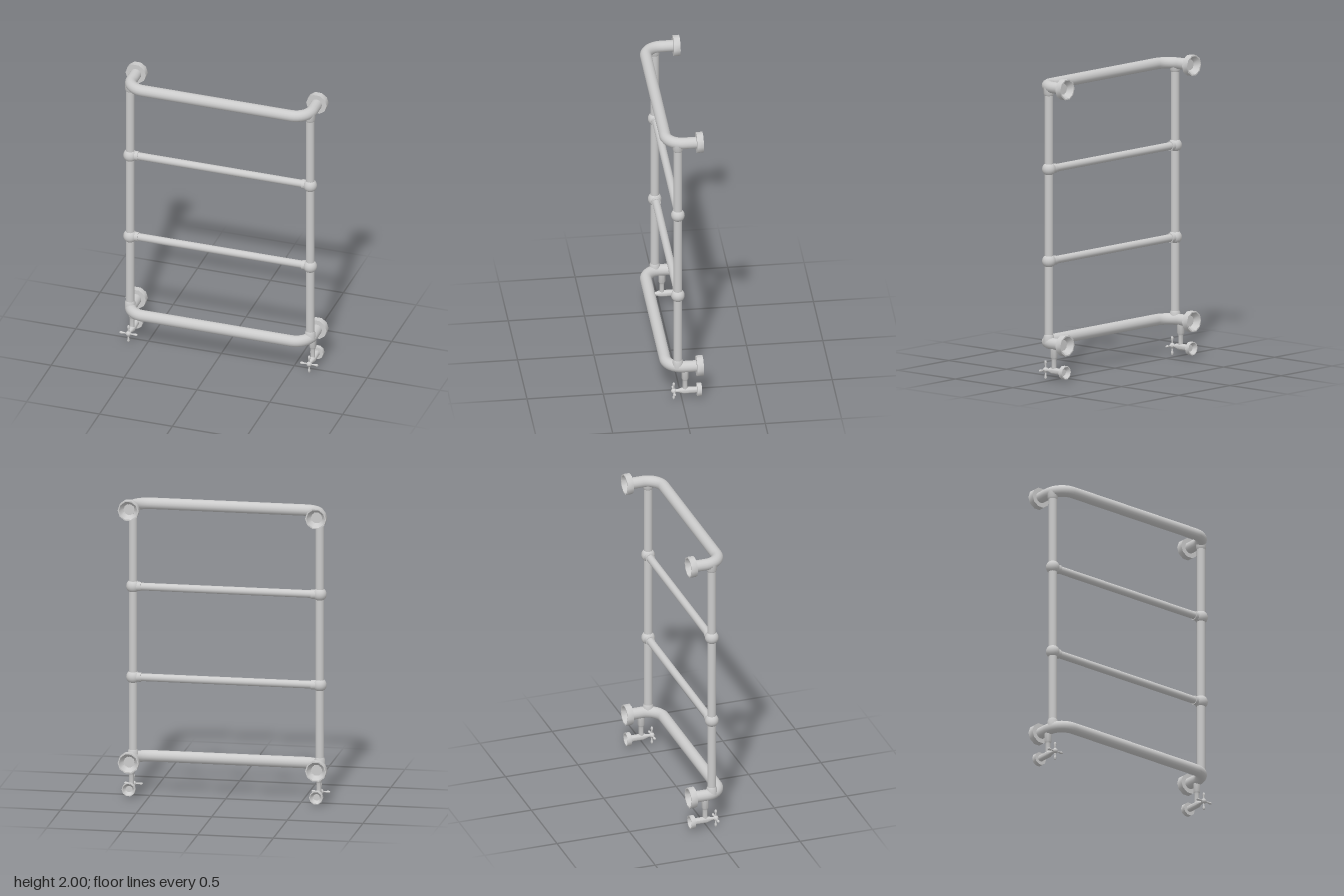
import * as THREE from 'three';
import { toCreasedNormals } from 'three/addons/utils/BufferGeometryUtils.js';

const X = 0.62, POST_Z = 0.026, TOP = 1.934, BOTTOM = 0.243;
const material = new THREE.MeshStandardMaterial({ color: 0xcccccc, side: THREE.DoubleSide });

function add(parent, name, geometry, x = 0, y = 0, z = 0) {
  const mesh = new THREE.Mesh(geometry, material);
  mesh.name = name;
  mesh.position.set(x, y, z);
  parent.add(mesh);
  return mesh;
}

// Turned part from [radius, height] pairs, with crisp profile edges
function turned(profile, sides) {
  const points = profile.map(([r, h]) => new THREE.Vector2(r, h));
  return toCreasedNormals(new THREE.LatheGeometry(points, sides, Math.PI / 2), 0.7);
}

// Pipe that bends back to the wall at both ends
function bentPipe() {
  const v = (x, z) => new THREE.Vector3(x, 0, z);
  const path = new THREE.CurvePath();
  const r = 0.11, front = 0.097, k = 0.45 * r;
  path.add(new THREE.LineCurve3(v(-X, -0.105), v(-X, front - r)));
  path.add(new THREE.CubicBezierCurve3(v(-X, front - r), v(-X, front - k), v(-X + k, front), v(-X + r, front)));
  path.add(new THREE.LineCurve3(v(-X + r, front), v(X - r, front)));
  path.add(new THREE.CubicBezierCurve3(v(X - r, front), v(X - k, front), v(X, front - k), v(X, front - r)));
  path.add(new THREE.LineCurve3(v(X, front - r), v(X, -0.105)));
  return new THREE.TubeGeometry(path, 90, 0.038, 16);
}

// Hollow wall cup, open to the back
function wallCup(r, pipe, z0, z1) {
  return turned([[0, z0 - 0.006], [pipe, z0 - 0.006], [r * 0.88, z1], [r, z1], [r, z0], [pipe * 0.9, z0]], 10)
    .rotateX(Math.PI / 2);
}

// Angled valve with a cross handle
function valve(x) {
  const g = new THREE.Group();
  g.name = 'valve';
  g.position.set(x, 0.064, 0);
  const stem = turned([[0.016, 0], [0.016, 0.075], [0.019, 0.085], [0.023, 0.092], [0.023, 0.17]], 14);
  add(g, 'valveStem', stem, 0, 0, -0.021);
  const body = turned([[0, -0.105], [0.021, -0.105], [0.022, -0.012], [0.01, 0.03], [0.01, 0.055], [0, 0.055]], 14);
  add(g, 'valveBody', body).rotation.x = Math.PI / 2;
  add(g, 'valveWallCup', wallCup(0.045, 0.022, -0.098, -0.128));
  add(g, 'handleHub', new THREE.SphereGeometry(0.018, 14, 10), 0, 0, 0.053);
  for (let i = 0; i < 4; i++) {
    const arm = turned([[0.006, 0.008], [0.005, 0.03], [0.008, 0.043], [0.009, 0.052], [0.006, 0.06], [0, 0.063]], 10);
    add(g, 'handleArm', arm, 0, 0, 0.053).rotation.z = i * Math.PI / 2;
  }
  return g;
}

export function createModel() {
  const group = new THREE.Group();
  group.name = 'towelRail';

  // Bent top and bottom rails with their wall cups
  for (const [name, y] of [['topRail', TOP], ['bottomRail', BOTTOM]]) {
    add(group, name, bentPipe(), 0, y);
    for (const s of [-1, 1]) add(group, 'wallCup', wallCup(0.07, 0.037, -0.094, -0.137), s * X, y);
  }

  // Thin rungs
  for (const y of [0.785, 1.392]) {
    const rung = new THREE.CylinderGeometry(0.0255, 0.0255, 2 * X, 16, 1, true).rotateZ(Math.PI / 2);
    add(group, 'rung', rung, 0, y, POST_Z - 0.004);
  }

  // Posts, joints and valves on both sides
  for (const s of [-1, 1]) {
    const x = s * (X - 0.002);
    add(group, 'post', new THREE.CylinderGeometry(0.028, 0.028, TOP - BOTTOM, 16, 1, true), x, (TOP + BOTTOM) / 2, POST_Z);
    for (const [y, d] of [[TOP, -1], [BOTTOM, 1]]) {
      const collar = turned([[0.034, 0], [0.034, 0.045], [0.028, 0.057]], 16);
      if (d < 0) collar.rotateX(Math.PI);
      add(group, 'postCollar', collar, x, y, POST_Z);
    }
    for (const y of [0.785, 1.392]) {
      add(group, 'ballJoint', new THREE.SphereGeometry(0.045, 18, 12), x, y, POST_Z);
      const collar = turned([[0.031, 0], [0.031, 0.056], [0.025, 0.056]], 16).rotateZ(s * Math.PI / 2);
      add(group, 'rungCollar', collar, x, y, POST_Z - 0.004);
    }
    group.add(valve(s * X));
  }
  return group;
}
